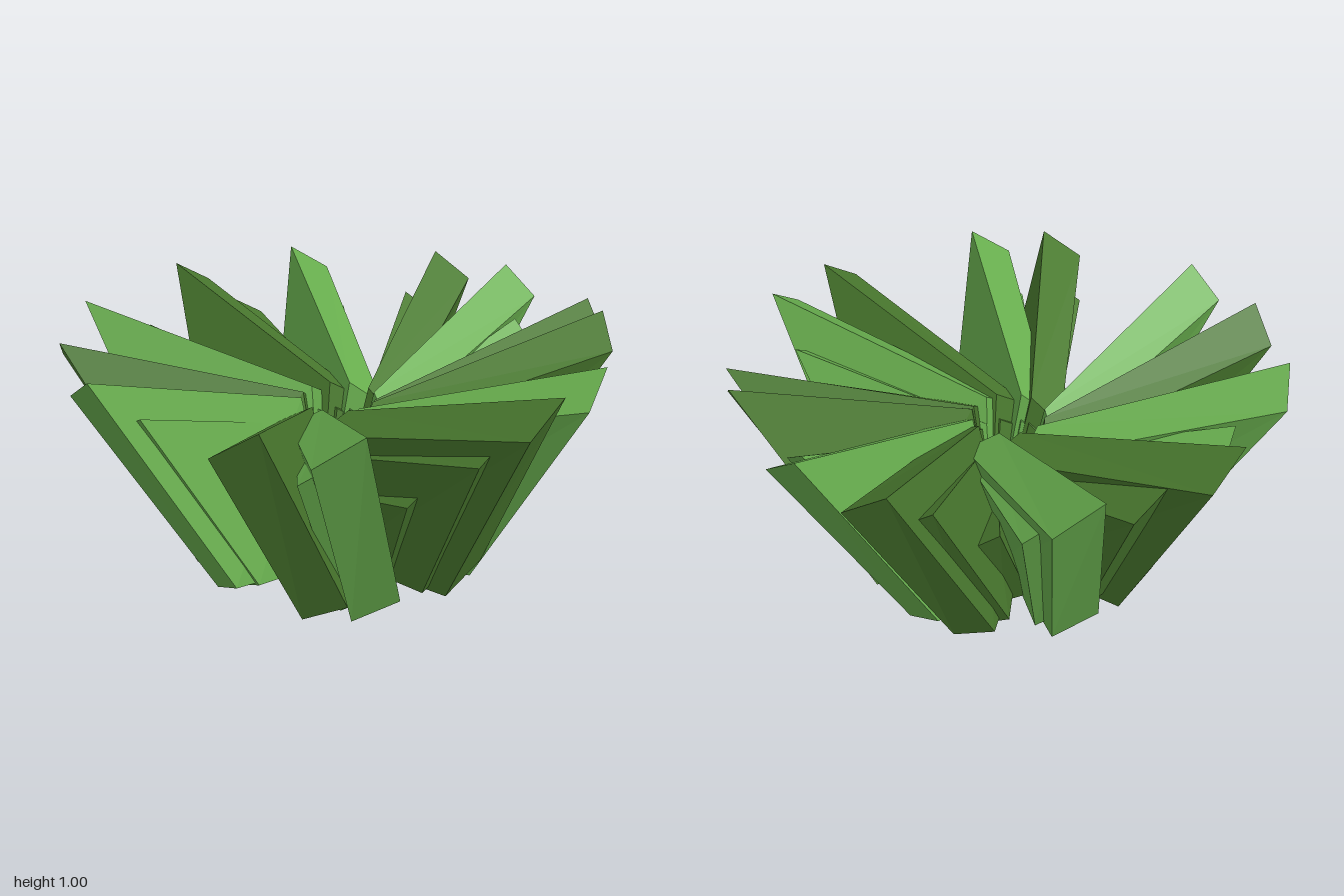
import * as THREE from 'three';

// Corners of one frond, keyed by sign of (width, height, outward)
const CORNERS = {
  '-++': [-0.16, 0.90, 0.985], '+++': [0, 1.0, 0.99],
  '--+': [0, 0.07, 0.56], '+-+': [0.17, 0.16, 0.58],
  '-+-': [-0.19, 0.62, 0.07], '++-': [-0.07, 0.70, 0.12],
  '---': [-0.01, 0, 0.02], '+--': [0.06, 0.03, 0.05],
};

// Slanted wedge: a box with its corners moved
function frondGeometry() {
  const g = new THREE.BoxGeometry(1, 1, 1).toNonIndexed();
  const p = g.attributes.position;
  const s = (v) => (v > 0 ? '+' : '-');
  for (let i = 0; i < p.count; i++) {
    p.setXYZ(i, ...CORNERS[s(p.getX(i)) + s(p.getY(i)) + s(p.getZ(i))]);
  }
  g.computeVertexNormals();
  return g;
}

export function createModel() {
  const group = new THREE.Group();
  group.name = 'plant';
  const light = new THREE.MeshStandardMaterial({ color: 0x68ae4e });
  light.name = 'light green';
  const dark = new THREE.MeshStandardMaterial({ color: 0x4a7a2f });
  dark.name = 'dark green';
  const geometry = frondGeometry();

  const addFrond = (name, degrees, scale, material) => {
    const m = new THREE.Mesh(geometry, material);
    m.name = name;
    m.rotation.y = -THREE.MathUtils.degToRad(degrees);
    m.scale.setScalar(scale);
    group.add(m);
  };

  // Headings in degrees: tall frond, middle frond, small inner frond
  const lightFronds = [
    [0, 4, -8], [58, 55, 66], [107.5, 121, 112],
    [172.5, 177, 168], [230, 243, 236], [302, 294, 298],
  ];
  const darkFronds = [
    [18, 21, 28], [81, 77, 90], [141, 152, 146],
    [210, 205, 192], [260, 272, 266], [320, 324, 330],
  ];
  const sizes = [['tallFrond', 1], ['middleFrond', 0.85], ['smallFrond', 0.55]];
  for (const [list, material] of [[lightFronds, light], [darkFronds, dark]]) {
    for (const headings of list) {
      headings.forEach((h, i) => addFrond(sizes[i][0], h, sizes[i][1], material));
    }
  }
  // Extra tall frond overlapping its neighbour
  addFrond('tallFrond', 268.5, 1, dark);
  return group;
}
